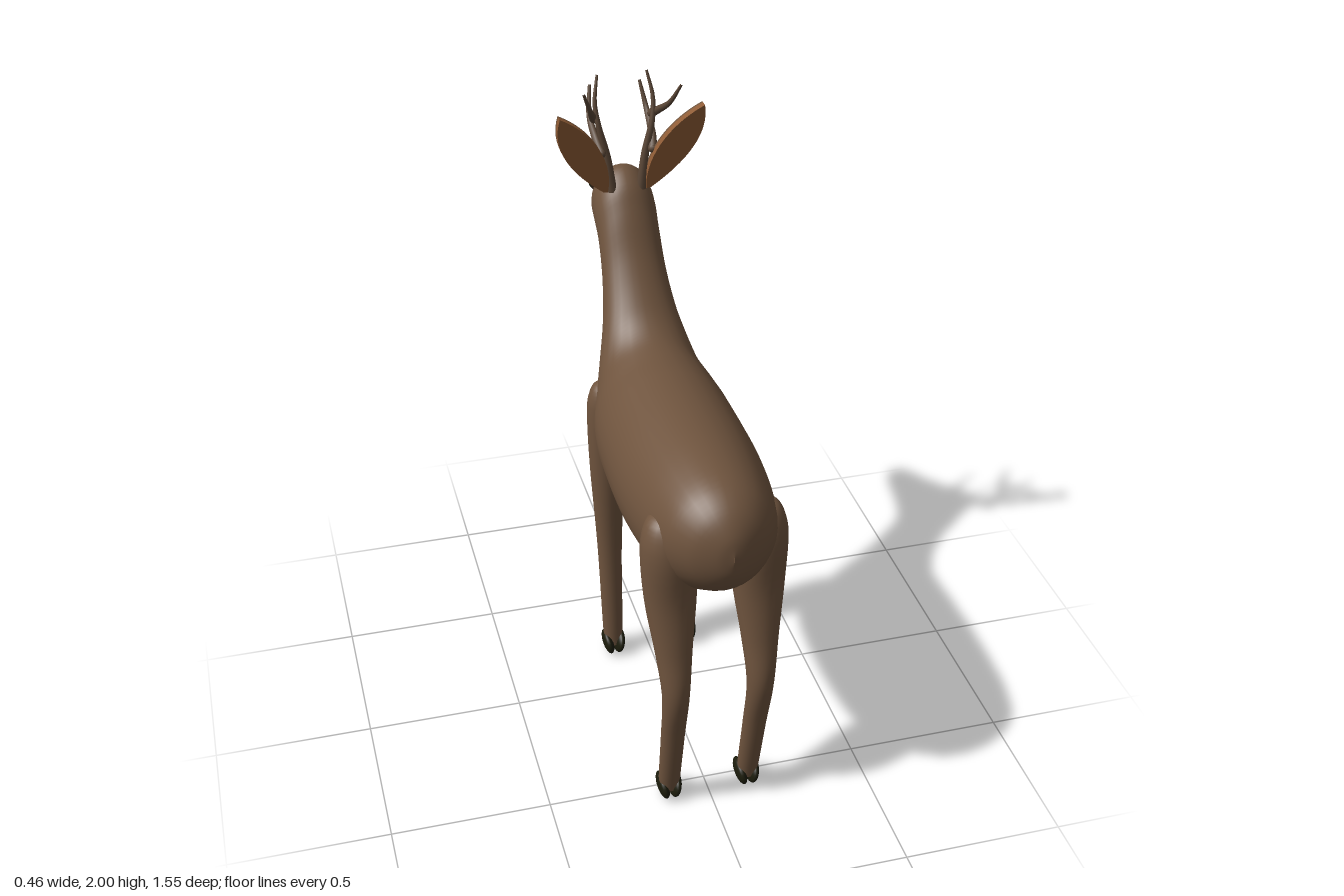
import * as THREE from 'three';

const mat = (name, color) => Object.assign(new THREE.MeshStandardMaterial({ color }), { name });
const V = (x, y, z) => new THREE.Vector3(x, y, z);

// Smooth skin over oval rings; row = [z1, y1, z2, y2, halfWidth], two opposite points of each ring
function loft(rows, cx = () => 0, steps = 5, sides = 32) {
  const a = new THREE.CatmullRomCurve3(rows.map(r => V(0, r[1], r[0])));
  const b = new THREE.CatmullRomCurve3(rows.map(r => V(0, r[3], r[2])));
  const w = new THREE.CatmullRomCurve3(rows.map((r, i) => V(r[4], i * 0.1, 0)));
  const n = (rows.length - 1) * steps, pos = [], idx = [];
  for (let i = 0; i <= n; i++) {
    const p = a.getPoint(i / n), q = b.getPoint(i / n);
    const c = p.clone().add(q).multiplyScalar(0.5), h = p.sub(q).multiplyScalar(0.5);
    const rx = Math.max(w.getPoint(i / n).x, 0.0005);
    for (let j = 0; j < sides; j++) {
      const t = (j / sides) * Math.PI * 2, s = Math.sin(t);
      pos.push(cx(c.y) + rx * Math.cos(t), c.y + h.y * s, c.z + h.z * s);
      if (i < n) {
        const k = i * sides, j2 = (j + 1) % sides;
        idx.push(k + j, k + sides + j, k + j2, k + sides + j, k + sides + j2, k + j2);
      }
    }
  }
  const g = new THREE.BufferGeometry();
  g.setAttribute('position', new THREE.Float32BufferAttribute(pos, 3));
  g.setIndex(idx);
  g.computeVertexNormals();
  return g;
}

// Tube along a curve narrowing from r0 to r1
function taperTube(points, r0, r1) {
  const curve = new THREE.CatmullRomCurve3(points), n = 16, sides = 10;
  const g = new THREE.TubeGeometry(curve, n, 1, sides), p = g.attributes.position, v = V(0, 0, 0);
  for (let i = 0; i < p.count; i++) {
    const t = Math.floor(i / (sides + 1)) / n, c = curve.getPointAt(t);
    v.fromBufferAttribute(p, i).sub(c).multiplyScalar(r0 + (r1 - r0) * t).add(c);
    p.setXYZ(i, v.x, v.y, v.z);
  }
  return g;
}

export function createModel() {
  const model = new THREE.Group();
  model.name = 'deer';
  const coat = mat('coatBrown', 0x6f543e);
  const earInside = mat('earTan', 0x8f5c36);
  const horn = mat('antlerBrown', 0x5b4737);
  const dark = mat('hoofBlack', 0x1c1c0c);
  const eyeBrown = mat('eyeBrown', 0x2e2015);
  const add = (name, geo, material, parent = model) => {
    const m = new THREE.Mesh(geo, material);
    m.name = name;
    parent.add(m);
    return m;
  };
  const ball = (name, material, x, y, z, rx, ry, rz) => {
    const m = add(name, new THREE.SphereGeometry(1, 20, 14), material);
    m.position.set(x, y, z);
    m.scale.set(rx, ry, rz);
    return m;
  };

  // Rump, trunk, neck and head in one skin
  add('body', loft([
    [0.772, 1.06, 0.772, 1.04, 0.0],
    [0.76, 1.12, 0.76, 0.98, 0.05],
    [0.72, 1.18, 0.72, 0.915, 0.115],
    [0.65, 1.222, 0.65, 0.86, 0.165],
    [0.52, 1.243, 0.52, 0.79, 0.2],
    [0.30, 1.245, 0.30, 0.768, 0.22],
    [0.05, 1.245, 0.05, 0.767, 0.217],
    [-0.06, 1.248, -0.09, 0.785, 0.203],
    [-0.13, 1.262, -0.19, 0.86, 0.175],
    [-0.19, 1.295, -0.25, 0.99, 0.15],
    [-0.25, 1.36, -0.32, 1.14, 0.122],
    [-0.32, 1.46, -0.39, 1.275, 0.104],
    [-0.385, 1.58, -0.46, 1.385, 0.098],
    [-0.435, 1.655, -0.515, 1.425, 0.099],
    [-0.50, 1.69, -0.57, 1.433, 0.094],
    [-0.58, 1.645, -0.63, 1.437, 0.075],
    [-0.67, 1.572, -0.69, 1.443, 0.056],
    [-0.74, 1.53, -0.74, 1.455, 0.04],
    [-0.762, 1.50, -0.762, 1.48, 0.0],
  ]), coat);
  ball('nose', dark, 0, 1.493, -0.753, 0.038, 0.033, 0.022);

  for (const s of [1, -1]) {
    const side = s > 0 ? 'left' : 'right';

    // Legs
    add(side + 'FrontLeg', loft([
      [-0.186, 1.105, -0.184, 1.105, 0],
      [-0.22, 1.085, -0.145, 1.085, 0.038],
      [-0.24, 1.02, -0.125, 1.02, 0.058],
      [-0.242, 0.8, -0.13, 0.8, 0.058],
      [-0.237, 0.45, -0.16, 0.45, 0.041],
      [-0.227, 0.1, -0.165, 0.1, 0.034],
      [-0.225, 0.04, -0.167, 0.04, 0.03],
    ], y => s * (0.126 + 0.016 * y), 5, 24), coat);
    add(side + 'HindLeg', loft([
      [0.569, 1.11, 0.571, 1.11, 0],
      [0.51, 1.08, 0.625, 1.08, 0.06],
      [0.495, 1.0, 0.655, 1.0, 0.084],
      [0.52, 0.82, 0.648, 0.82, 0.079],
      [0.57, 0.65, 0.665, 0.65, 0.058],
      [0.602, 0.49, 0.685, 0.49, 0.042],
      [0.572, 0.3, 0.64, 0.3, 0.037],
      [0.53, 0.09, 0.592, 0.09, 0.034],
      [0.525, 0.04, 0.58, 0.04, 0.03],
    ], y => s * (0.128 + 0.008 * y), 5, 24), coat);

    // Cloven hooves
    for (const [name, z] of [['FrontHoof', -0.195], ['HindHoof', 0.545]])
      for (const k of [1, -1]) {
        const toe = ball(side + name, dark, s * 0.127 + k * 0.019, 0.042, z, 0.018, 0.042, 0.05);
        toe.rotation.z = -k * 0.2;
      }

    // Ears: leaf shapes leaning back, coat on the front face
    const leaf = new THREE.Shape();
    leaf.moveTo(s * 0.062, 1.63);
    leaf.bezierCurveTo(s * 0.05, 1.74, s * 0.11, 1.86, s * 0.226, 1.925);
    leaf.bezierCurveTo(s * 0.25, 1.82, s * 0.19, 1.72, s * 0.075, 1.63);
    const lean = g => {
      const p = g.attributes.position;
      for (let i = 0; i < p.count; i++)
        p.setZ(i, p.getZ(i) - 0.462 + (p.getY(i) - 1.63) * 0.29);
      g.computeVertexNormals();
      return g;
    };
    const plate = depth => new THREE.ExtrudeGeometry(leaf, { depth, bevelEnabled: false, curveSegments: 16 });
    add(side + 'Ear', lean(plate(0.024)), earInside);
    add(side + 'EarFront', lean(plate(0.008).translate(0, 0, -0.008)), coat);

    // Antlers: a beam with forward and backward tines
    const antler = new THREE.Group();
    antler.name = side + 'Antler';
    model.add(antler);
    const tine = (name, pts, r0, r1) =>
      add(name, taperTube(pts.map(p => V(s * p[0], p[1], p[2])), r0, r1), horn, antler);
    tine('beam', [[0.047, 1.63, -0.445], [0.062, 1.75, -0.448], [0.085, 1.85, -0.452],
      [0.092, 1.92, -0.468], [0.078, 2.0, -0.492]], 0.016, 0.004);
    tine('forwardTine', [[0.082, 1.765, -0.435], [0.09, 1.80, -0.475], [0.092, 1.85, -0.55],
      [0.08, 1.93, -0.59]], 0.015, 0.005);
    tine('backTine', [[0.092, 1.86, -0.487], [0.105, 1.885, -0.45], [0.125, 1.93, -0.39],
      [0.152, 2.0, -0.352]], 0.014, 0.004);
    for (const [x, y, z, r] of [[0.082, 1.765, -0.435, 0.015], [0.092, 1.86, -0.487, 0.014]]) {
      const knob = add('knob', new THREE.SphereGeometry(r, 10, 8), horn, antler);
      knob.position.set(s * x, y, z);
    }

    // Eyes
    ball(side + 'Eye', eyeBrown, s * 0.072, 1.6, -0.57, 0.016, 0.019, 0.019);
    ball(side + 'Pupil', dark, s * 0.08, 1.6, -0.575, 0.012, 0.013, 0.013);
  }
  return model;
}
